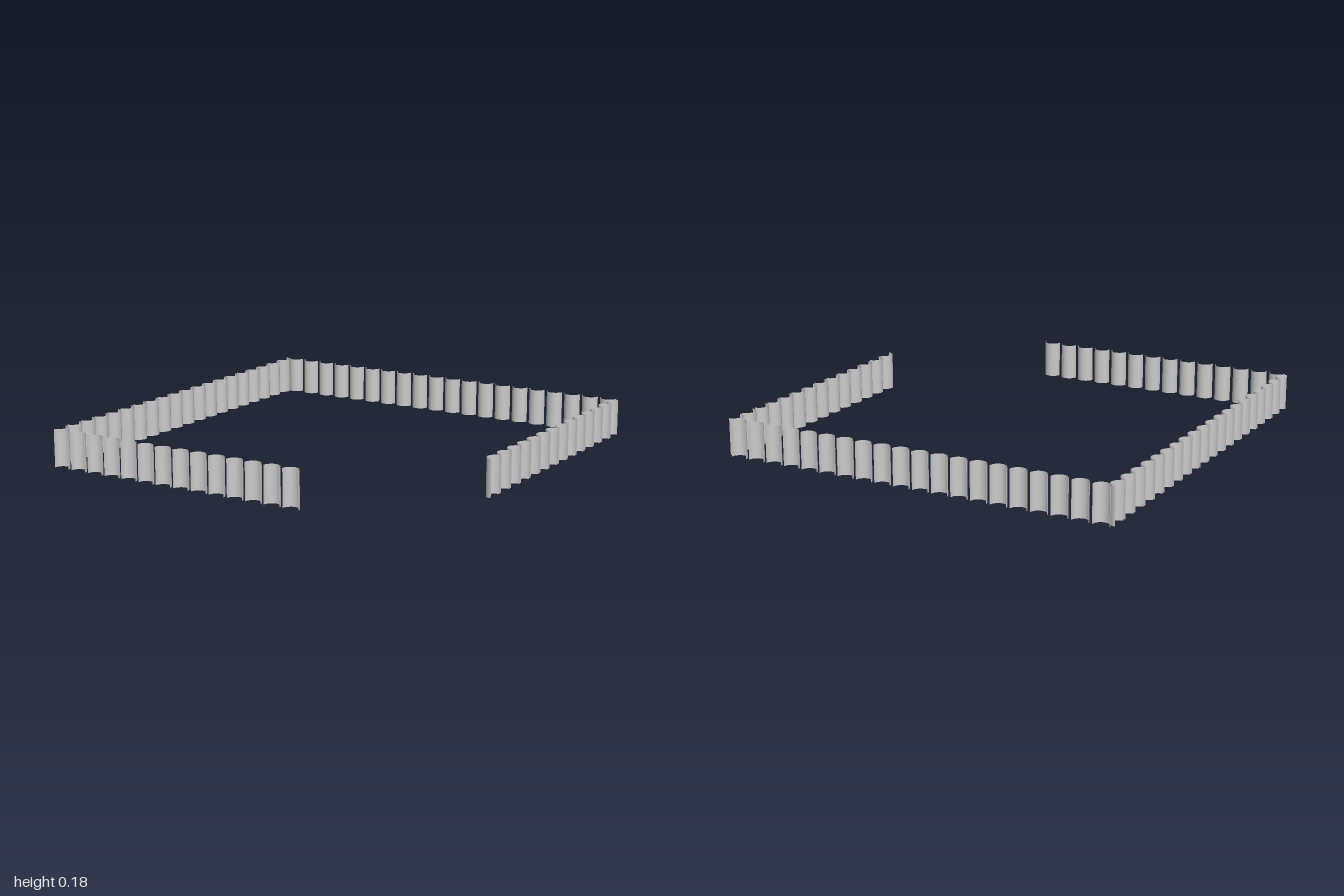
import * as THREE from 'three';

const RADIUS = 0.041, HEIGHT = 0.18, PITCH = 0.099, START = -0.942;

export function createModel() {
  const model = new THREE.Group();
  model.name = 'edgingFence';
  const material = new THREE.MeshStandardMaterial({ color: 0xcccccc, side: THREE.DoubleSide });

  // Open half-round stake, bulging towards +z
  const stake = new THREE.CylinderGeometry(RADIUS, RADIUS, HEIGHT, 16, 1, true, -Math.PI / 2, Math.PI);
  stake.translate(0, HEIGHT / 2, 0);

  // A row of stakes; place(t) gives [x, z] at distance t along the row
  function addRow(name, count, turn, place) {
    const row = new THREE.Group();
    row.name = name;
    for (let i = 0; i < count; i++) {
      const mesh = new THREE.Mesh(stake, material);
      const [x, z] = place(START + i * PITCH);
      mesh.name = 'stake';
      mesh.position.set(x, 0, z);
      mesh.rotation.y = turn;
      row.add(mesh);
    }
    model.add(row);
  }

  // Two full sides and two short ones leave an open corner at +x, +z
  addRow('backRow', 20, 0, t => [t, -1]);
  addRow('rightRow', 20, Math.PI / 2, t => [-1, t]);
  addRow('frontRow', 14, Math.PI, t => [t, 1]);
  addRow('leftRow', 14, -Math.PI / 2, t => [1, t]);
  return model;
}
